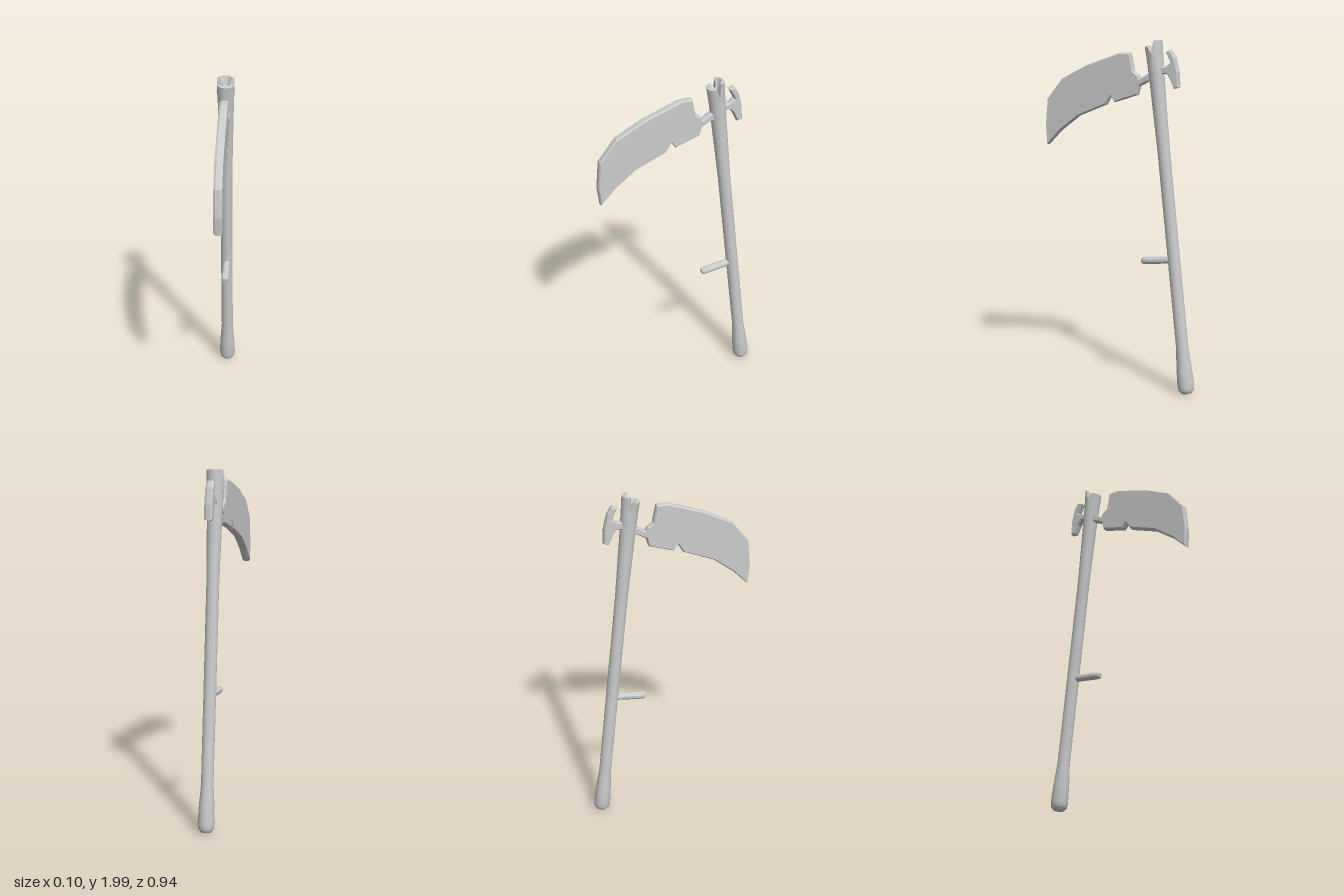
import * as THREE from 'three';
import { toCreasedNormals } from 'three/addons/utils/BufferGeometryUtils.js';

const material = new THREE.MeshStandardMaterial({ color: 0xcccccc });

// Flat plate with bevelled rims; outline points are [z, y]
function plate(name, outline, half, bevel) {
  const shape = new THREE.Shape(outline.map(([z, y]) => new THREE.Vector2(z, y)));
  const geometry = new THREE.ExtrudeGeometry(shape, {
    depth: 2 * (half - bevel),
    bevelThickness: bevel,
    bevelSize: bevel * 0.6,
    bevelOffset: -bevel * 0.6,
    bevelSegments: 1,
  });
  geometry.translate(0, 0, bevel - half);
  geometry.rotateY(-Math.PI / 2);
  const mesh = new THREE.Mesh(geometry, material);
  mesh.name = name;
  return mesh;
}

// Round part turned from [radius, height] pairs
function turned(profile, sides) {
  return new THREE.LatheGeometry(profile.map(([r, y]) => new THREE.Vector2(r, y)), sides);
}

export function createModel() {
  const model = new THREE.Group();
  model.name = 'scythe';

  // Leaning shaft with a swollen grip and a hollow, splintered top
  const shaftGeometry = turned([
    [0, 0], [0.03, 0.005], [0.044, 0.022], [0.048, 0.05], [0.044, 0.15], [0.035, 0.27],
    [0.035, 1.4], [0.042, 1.75], [0.046, 1.89], [0.05, 1.968], [0.034, 1.972],
    [0.014, 1.952], [0, 1.95],
  ], 16);
  const p = shaftGeometry.attributes.position;
  for (let i = 0; i < p.count; i++) {
    if (p.getY(i) < 1.96) continue;
    const z = p.getZ(i);
    // cracks at both sides, raised splinter at the back
    if (Math.abs(z) < 0.005) p.setY(i, p.getY(i) - 0.045);
    else if (z < 0) p.setY(i, p.getY(i) + 0.027);
  }
  const shaft = new THREE.Mesh(toCreasedNormals(shaftGeometry, 0.6), material);
  shaft.name = 'shaft';
  shaft.position.set(0, 0.003, -0.425);
  shaft.rotation.x = 0.11;
  model.add(shaft);

  // Side handle
  const handle = new THREE.Mesh(toCreasedNormals(turned([
    [0, 0], [0.02, 0], [0.022, 0.15], [0.021, 0.19], [0.014, 0.2], [0, 0.2],
  ], 10), 0.6), material);
  handle.name = 'handle';
  handle.position.set(0, 0.775, -0.34);
  handle.rotation.x = Math.PI / 2 + 0.12;
  model.add(handle);

  // Curved blade with its tang
  model.add(plate('blade', [
    [-0.005, 1.92], [0.2, 1.85], [0.36, 1.77], [0.457, 1.65], [0.472, 1.49], [0.46, 1.385],
    [0.375, 1.47], [0.255, 1.56], [0.08, 1.63], [0.05, 1.68], [0.025, 1.645], [-0.115, 1.69],
    [-0.13, 1.74], [-0.18, 1.765], [-0.23, 1.77], [-0.23, 1.82], [-0.18, 1.81], [-0.13, 1.78],
    [-0.12, 1.8], [-0.09, 1.82], [-0.07, 1.92],
  ], 0.023, 0.011));

  // Small crescent behind the shaft
  model.add(plate('backCrescent', [
    [-0.22, 1.845], [-0.285, 1.85], [-0.315, 1.87], [-0.285, 1.93], [-0.315, 1.94],
    [-0.34, 1.9], [-0.36, 1.82], [-0.365, 1.735], [-0.335, 1.73], [-0.31, 1.785],
    [-0.29, 1.81], [-0.22, 1.8],
  ], 0.022, 0.011));

  return model;
}
